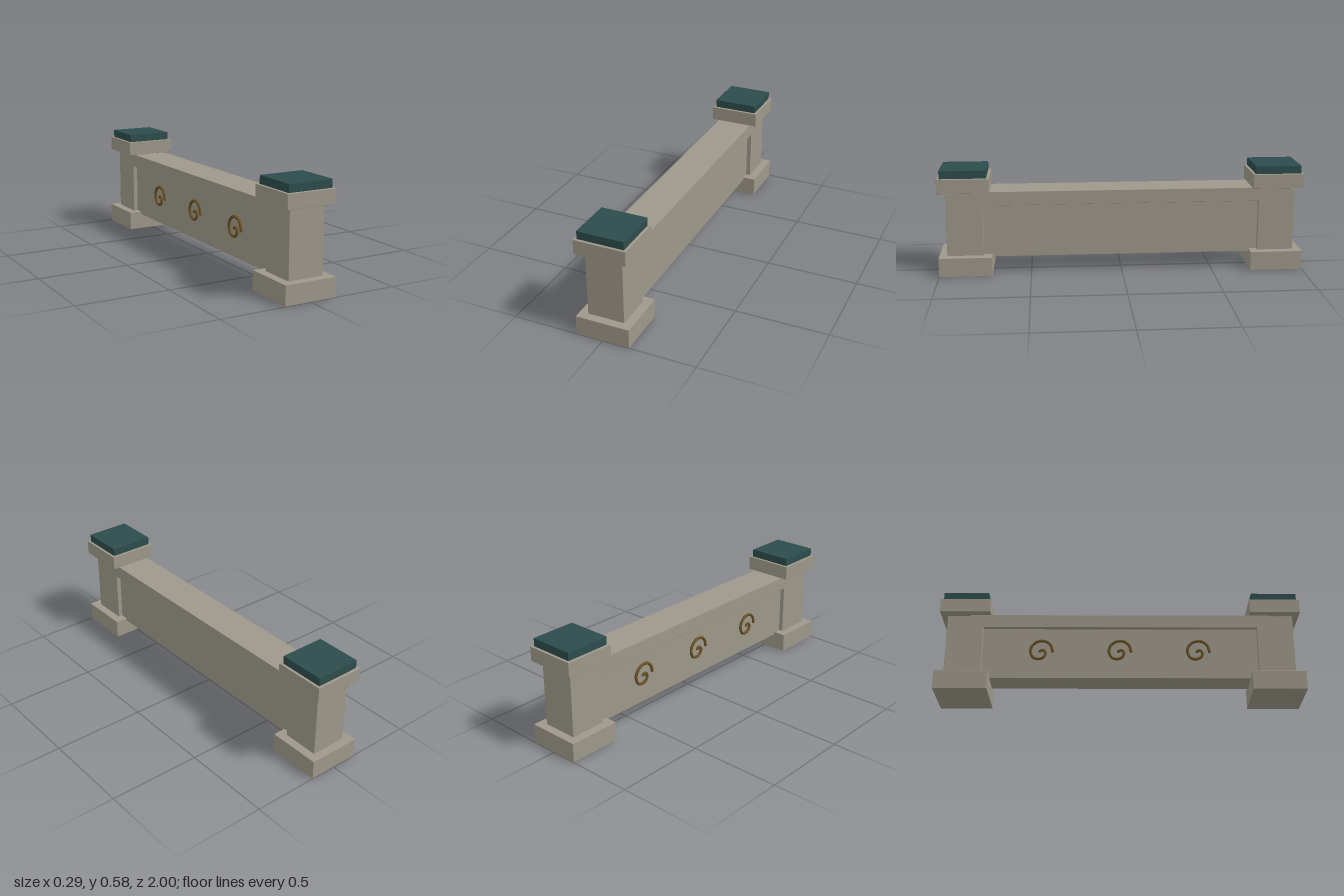
import * as THREE from 'three';
import { RoundedBoxGeometry } from 'three/addons/geometries/RoundedBoxGeometry.js';

export function createModel() {
  const model = new THREE.Group();
  model.name = 'lowWall';

  const material = (name, color) => {
    const m = new THREE.MeshStandardMaterial({ color });
    m.name = name;
    return m;
  };
  const stone = material('stone', 0x9e988a);
  const teal = material('tealCap', 0x2d4c4c);
  const bronze = material('bronze', 0x6b5226);

  // Box with slightly eased edges, spanning y0..y1
  const block = (name, mat, width, y0, y1, depth, z = 0) => {
    const mesh = new THREE.Mesh(new RoundedBoxGeometry(width, y1 - y0, depth, 1, 0.002), mat);
    mesh.name = name;
    mesh.position.set(0, (y0 + y1) / 2, z);
    return mesh;
  };

  // Wall: recessed panel under a wider coping
  model.add(block('wallPanel', stone, 0.15, 0.09, 0.40, 1.66));
  model.add(block('coping', stone, 0.2, 0.385, 0.461, 1.66));

  // Pillar at each end
  for (const [side, name] of [[1, 'frontPillar'], [-1, 'backPillar']]) {
    const pillar = new THREE.Group();
    pillar.name = name;
    const z = side * 0.855;
    pillar.add(
      block('pillarBase', stone, 0.292, 0, 0.106, 0.29, z),
      block('pillarShaft', stone, 0.2, 0.1, 0.454, 0.2, z),
      block('pillarCapital', stone, 0.278, 0.462, 0.541, 0.278, z),
      block('pillarCap', teal, 0.25, 0.538, 0.585, 0.25, z),
    );
    model.add(pillar);
  }

  // Three scrolls on one face, drawn as (z, y) points from the outer tip inward
  const scrollCurve = new THREE.CatmullRomCurve3([
    [0.06, -0.005], [0.05, 0.03], [0.022, 0.054], [-0.02, 0.054], [-0.053, 0.027],
    [-0.06, -0.012], [-0.042, -0.044], [-0.01, -0.05], [0.016, -0.035],
    [0.02, -0.01], [0.004, 0.003], [-0.009, -0.005],
  ].map(([z, y]) => new THREE.Vector3(0, y, z)));
  const scrollGeometry = new THREE.TubeGeometry(scrollCurve, 48, 0.008, 8);
  const tipGeometry = new THREE.SphereGeometry(0.008, 8, 6);
  for (const z of [-0.43, 0, 0.43]) {
    const scroll = new THREE.Group();
    scroll.name = 'scroll';
    scroll.position.set(-0.08, 0.253, z);
    const tube = new THREE.Mesh(scrollGeometry, bronze);
    tube.name = 'scrollTube';
    scroll.add(tube);
    for (const t of [0, 1]) {
      const tip = new THREE.Mesh(tipGeometry, bronze);
      tip.name = 'scrollTip';
      tip.position.copy(scrollCurve.getPoint(t));
      scroll.add(tip);
    }
    model.add(scroll);
  }
  return model;
}
